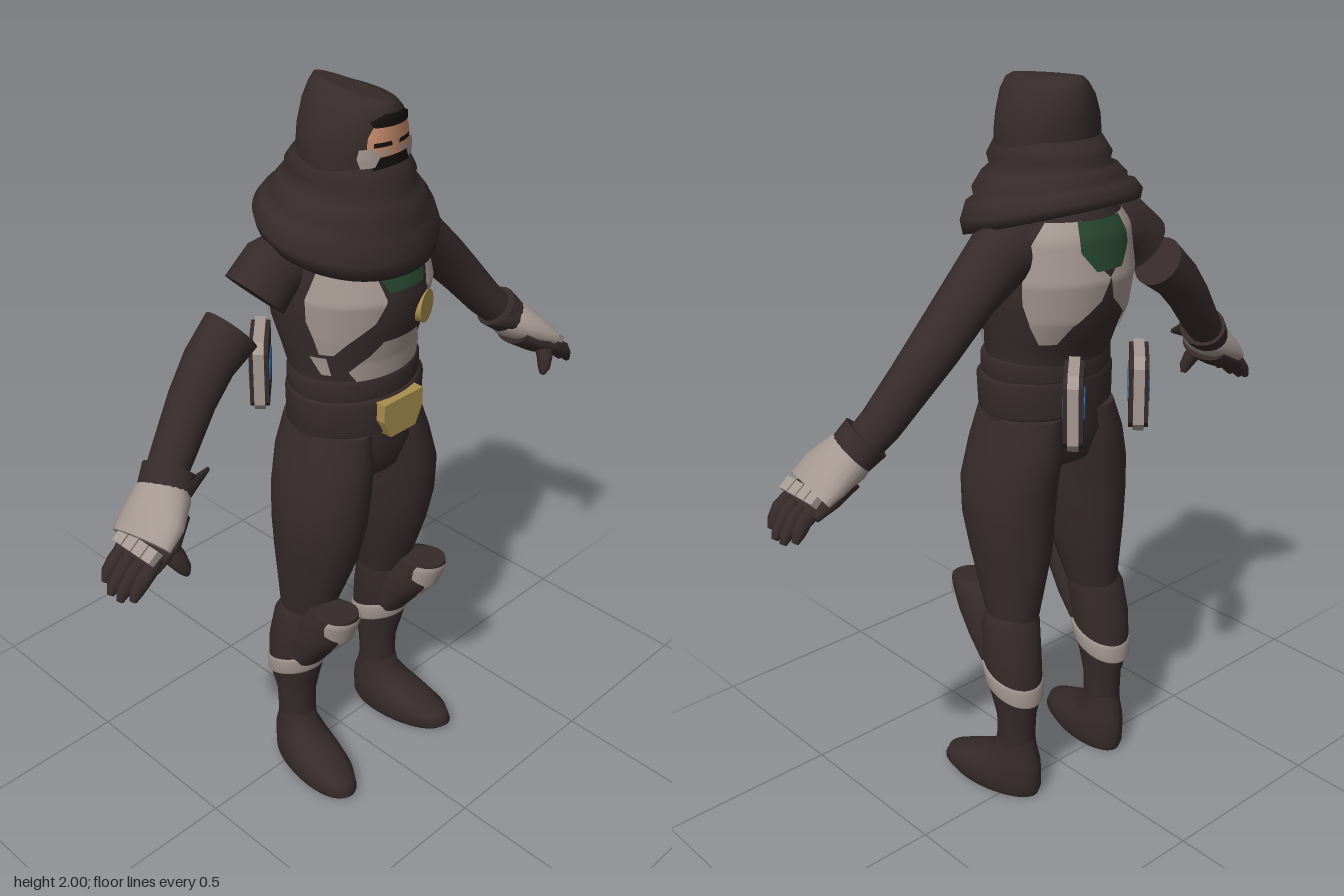
import * as THREE from 'three';

const mat = (name, color) => { const m = new THREE.MeshStandardMaterial({ color }); m.name = name; return m; };

export function createModel() {
  const cloth = mat('darkCloth', 0x362a2a), plate = mat('paleArmour', 0xa59892), gold = mat('gold', 0xa88d4e),
    green = mat('green', 0x27452f), blue = mat('blue', 0x2a6090), skin = mat('skin', 0xcb8e6e), black = mat('black', 0x17110f);
  const model = new THREE.Group();
  const add = (name, geo, m, parent = model) => {
    const mesh = new THREE.Mesh(geo, m);
    mesh.name = name;
    parent.add(mesh);
    return mesh;
  };

  // Surface through rows of points; closed rows wrap around and get end caps
  const skinRows = (rows, closed) => {
    const n = rows[0].length, pos = [], idx = [];
    rows.forEach(r => r.forEach(p => pos.push(p.x, p.y, p.z)));
    for (let i = 0; i < rows.length - 1; i++) for (let j = 0; j < (closed ? n : n - 1); j++) {
      const a = i * n + j, b = i * n + (j + 1) % n;
      idx.push(a, a + n, b + n, a, b + n, b);
    }
    if (closed) [rows[0], rows[rows.length - 1]].forEach((r, end) => {
      const s = pos.length / 3, c = new THREE.Vector3();
      r.forEach(p => { pos.push(p.x, p.y, p.z); c.addScaledVector(p, 1 / n); });
      pos.push(c.x, c.y, c.z);
      for (let j = 0; j < n; j++) {
        const a = s + j, b = s + (j + 1) % n;
        idx.push(s + n, end ? b : a, end ? a : b);
      }
    });
    const g = new THREE.BufferGeometry();
    g.setAttribute('position', new THREE.Float32BufferAttribute(pos, 3));
    g.setIndex(idx);
    g.computeVertexNormals();
    return g;
  };

  // Upright loft, rings from top to bottom: [y, centre x, half width, front z, back z, tilt]
  const ringPoint = ([y, cx, rx, zf, zb, tilt = 0], a, out = 0) => {
    const z = (zf + zb) / 2 + ((zf - zb) / 2 + out) * Math.cos(a);
    return new THREE.Vector3(cx + (rx + out) * Math.sin(a), y + tilt * z, z);
  };
  const around = (n, f) => Array.from({ length: n }, (_, j) => f(j / n * Math.PI * 2));
  const loft = (rings, n = 40) => skinRows(rings.map(r => around(n, a => ringPoint(r, a))), true);
  const mix = (p, q, t) => p.map((v, k) => v + ((q[k] ?? 0) - v) * t);
  const ringAt = (rings, y) => {
    let k = 0;
    while (k < rings.length - 2 && rings[k + 1][0] > y) k++;
    return mix(rings[k], rings[k + 1], (rings[k][0] - y) / (rings[k][0] - rings[k + 1][0]));
  };
  // Thin painted patch lying on a loft, rows: [y, start angle, end angle]
  const patch = (name, rings, rows, m, out = 0.005) => {
    const lines = [];
    rows.forEach((r, i) => {
      const steps = i < rows.length - 1 ? 6 : 1;
      for (let s = 0; s < steps; s++) lines.push(steps > 1 ? mix(r, rows[i + 1], s / steps) : r);
    });
    return add(name, skinRows(lines.map(([y, a0, a1]) => Array.from({ length: 15 }, (_, j) =>
      ringPoint(ringAt(rings, y), a0 + (a1 - a0) * j / 14, out)))), m);
  };
  const patchPair = (name, rings, rows, m, out) => {
    patch(name + 'Left', rings, rows, m, out);
    patch(name + 'Right', rings, rows.map(([y, a, b]) => [y, -b, -a]), m, out);
  };
  // Limb along a path, points: [x, y, z, half thickness, half depth in z]
  const limb = (pts, side = 1, n = 20) => {
    const c = pts.map(p => new THREE.Vector3(p[0] * side, p[1], p[2]));
    return skinRows(pts.map((p, i) => {
      const t = c[Math.min(i + 1, c.length - 1)].clone().sub(c[Math.max(i - 1, 0)]).normalize();
      const u = new THREE.Vector3(0, 0, 1).addScaledVector(t, -t.z).normalize();
      const v = u.clone().cross(t);
      return around(n, a => c[i].clone().addScaledVector(u, p[4] * Math.cos(a)).addScaledVector(v, p[3] * Math.sin(a)));
    }), true);
  };

  // Torso and chest armour
  const torso = [[1.72, 0, 0.12, 0.13, -0.12], [1.63, 0, 0.19, 0.205, -0.17], [1.52, 0, 0.205, 0.235, -0.185],
    [1.42, 0, 0.195, 0.215, -0.165], [1.35, 0, 0.183, 0.195, -0.13], [1.28, 0, 0.172, 0.185, -0.1], [1.12, 0, 0.17, 0.18, -0.09]];
  add('torso', loft(torso, 64), cloth);
  patchPair('chestPlate', torso, [[1.64, 0.5, 0.9], [1.6, 0.45, 1.15], [1.53, 0.33, 1.3], [1.47, 0.45, 1.3], [1.42, 0.75, 1.2], [1.38, 0.95, 1.15]], plate);
  patch('abdomenPlate', torso, [[1.41, -0.3, 0.3], [1.375, -0.45, 0.45], [1.33, -0.75, 0.75], [1.28, -0.55, 0.55]], plate);
  patchPair('ribPlate', torso, [[1.37, 1.05, 1.3], [1.32, 1.0, 1.15]], plate);
  patch('collarPanel', torso, [[1.61, -0.45, 0.45], [1.545, -0.28, 0.28]], green);
  const P = Math.PI;
  patchPair('backPlate', torso, [[1.67, P - 0.9, P - 0.35], [1.58, P - 1.1, P - 0.25], [1.53, P - 1.1, P], [1.47, P - 1.1, P - 0.1],
    [1.41, P - 1.0, P - 0.45], [1.36, P - 0.85, P - 0.6]], plate);
  patch('backPanel', torso, [[1.67, P - 0.42, P + 0.42], [1.6, P - 0.4, P + 0.4], [1.55, P - 0.2, P + 0.2]], green, 0.008);
  const badge = add('badge', new THREE.CylinderGeometry(0.042, 0.042, 0.02, 24).rotateX(P / 2), gold);
  badge.position.set(0.08, 1.46, 0.208);
  badge.rotation.y = 0.35;

  // Belt, buckle and hips
  add('upperBelt', loft([[1.3, 0, 0.178, 0.195, -0.1], [1.29, 0, 0.185, 0.2, -0.105], [1.25, 0, 0.185, 0.2, -0.105], [1.24, 0, 0.178, 0.195, -0.1]]), cloth);
  add('lowerBelt', loft([[1.245, 0, 0.185, 0.2, -0.1], [1.235, 0, 0.195, 0.21, -0.105], [1.15, 0, 0.192, 0.208, -0.105], [1.14, 0, 0.18, 0.195, -0.095]]), cloth);
  const buckle = new THREE.Shape([[-0.07, 1.24], [-0.07, 1.19], [-0.045, 1.14], [0.045, 1.14], [0.07, 1.19], [0.07, 1.24]].map(p => new THREE.Vector2(...p)));
  add('buckle', new THREE.ExtrudeGeometry(buckle, { depth: 0.03, bevelEnabled: false }).translate(0, 0, 0.195), gold);
  add('hips', loft([[1.16, 0, 0.178, 0.19, -0.09], [1.08, 0, 0.19, 0.195, -0.095], [1.0, 0, 0.14, 0.17, -0.07], [0.96, 0, 0.05, 0.1, 0]]), cloth);

  // Hood, face and draped cowl
  const hood = [[1.992, 0, 0.03, 0.165, -0.085, -0.07], [1.978, 0, 0.065, 0.175, -0.092, -0.03], [1.95, 0, 0.098, 0.175, -0.096],
    [1.9, 0, 0.124, 0.172, -0.096], [1.86, 0, 0.134, 0.17, -0.092], [1.8, 0, 0.135, 0.168, -0.09]];
  add('hood', loft(hood, 48), cloth);
  patch('face', hood, [[1.94, -0.5, 0.5], [1.91, -0.58, 0.58], [1.87, -0.55, 0.55], [1.855, -0.4, 0.4]], skin);
  patch('hair', hood, [[1.965, -0.35, 0.35], [1.945, -0.62, 0.62], [1.932, -0.5, 0.5]], black, 0.007);
  patchPair('brow', hood, [[1.897, 0.1, 0.45], [1.886, 0.08, 0.45]], black, 0.007);
  patchPair('cheekGuard', hood, [[1.885, 0.45, 0.7], [1.865, 0.3, 0.72], [1.84, 0.4, 0.65]], plate, 0.008);
  patchPair('eye', hood, [[1.876, 0.1, 0.3], [1.866, 0.1, 0.3]], plate, 0.007);
  patch('mouthMask', hood, [[1.862, -0.4, 0.4], [1.83, -0.45, 0.45]], black, 0.007);
  add('cowl', loft([[1.85, 0, 0.125, 0.165, -0.1], [1.83, 0, 0.135, 0.18, -0.117], [1.805, 0, 0.15, 0.197, -0.13, -0.05],
    [1.78, 0, 0.142, 0.192, -0.126, -0.06], [1.77, 0, 0.168, 0.207, -0.14, -0.1], [1.74, 0, 0.198, 0.222, -0.157, -0.13],
    [1.722, 0, 0.195, 0.217, -0.157, -0.16], [1.715, 0, 0.222, 0.228, -0.172, -0.18], [1.68, 0, 0.243, 0.236, -0.187, -0.25],
    [1.65, 0, 0.235, 0.232, -0.185, -0.3], [1.665, 0, 0.18, 0.18, -0.15, -0.3]], 56), cloth);

  for (const side of [1, -1]) {
    const tag = side > 0 ? 'left' : 'right', part = (name, geo, m) => add(tag + name, geo, m);
    const at = rings => rings.map(([y, x, ...rest]) => [y, x * side, ...rest]);

    // Legs
    part('Thigh', loft(at([[1.14, 0.09, 0.088, 0.185, -0.09], [1.05, 0.107, 0.107, 0.197, -0.1], [0.95, 0.127, 0.12, 0.2, -0.088],
      [0.85, 0.133, 0.116, 0.192, -0.083], [0.75, 0.135, 0.103, 0.17, -0.08], [0.65, 0.143, 0.084, 0.135, -0.068], [0.56, 0.15, 0.07, 0.1, -0.055]])), cloth);
    part('Shin', loft(at([[0.57, 0.16, 0.07, 0.09, -0.045], [0.54, 0.162, 0.08, 0.1, -0.062], [0.45, 0.17, 0.078, 0.095, -0.08],
      [0.36, 0.17, 0.074, 0.075, -0.085], [0.32, 0.17, 0.067, 0.065, -0.082], [0.25, 0.168, 0.055, 0.048, -0.064], [0.13, 0.17, 0.05, 0.05, -0.06]])), cloth);
    part('ShinBand', loft(at([[0.4, 0.17, 0.076, 0.095, -0.086, 0.4], [0.392, 0.17, 0.081, 0.098, -0.09, 0.4], [0.35, 0.17, 0.077, 0.086, -0.09, 0.4], [0.342, 0.17, 0.07, 0.08, -0.086, 0.4]])), plate);
    const knee = at([[0.625, 0.175, 0.05, 0.225, 0.12], [0.61, 0.175, 0.06, 0.225, 0.08], [0.54, 0.172, 0.066, 0.2, 0.03],
      [0.48, 0.17, 0.07, 0.15, 0.02], [0.4, 0.17, 0.06, 0.09, 0.0]]);
    part('KneeGuard', loft(knee), cloth);
    patch(tag + 'KneePlate', knee, [[0.622, -1.3, 1.3], [0.575, -1.1, 1.1], [0.55, -0.5, 0.5], [0.5, -0.4, 0.4]], plate);

    // Boot
    const boot = part('Boot', loft([[0.2, 0, 0.05, 0.045, -0.058], [0.14, 0, 0.054, 0.06, -0.068], [0.105, 0, 0.064, 0.115, -0.08], [0.075, 0, 0.073, 0.185, -0.083],
      [0.05, 0, 0.077, 0.24, -0.083], [0.02, 0, 0.077, 0.255, -0.083], [0, 0, 0.066, 0.235, -0.075]]), cloth);
    boot.position.x = 0.17 * side;
    boot.rotation.y = 0.16 * side;

    // Arms; the right sleeve is parted above the elbow
    const upper = [[0.12, 1.6, -0.01, 0.075, 0.075], [0.22, 1.58, -0.015, 0.085, 0.08]];
    const lower = [[0.42, 1.405, -0.02, 0.063, 0.066], [0.485, 1.335, -0.01, 0.058, 0.06], [0.565, 1.24, 0.012, 0.052, 0.055], [0.63, 1.175, 0.035, 0.046, 0.05]];
    if (side > 0) part('Arm', limb([...upper, [0.31, 1.51, -0.02, 0.067, 0.075], ...lower], side), cloth);
    else {
      part('UpperArm', limb([...upper, [0.268, 1.53, -0.02, 0.088, 0.08]], side), cloth);
      part('Forearm', limb([[0.345, 1.465, -0.02, 0.072, 0.074], ...lower], side), cloth);
    }

    // Gloves and hands
    part('Cuff', limb([[0.595, 1.21, 0.03, 0.062, 0.07], [0.63, 1.175, 0.045, 0.055, 0.068]], side), cloth);
    part('CuffFin', limb([[0.61, 1.185, 0.1, 0.03, 0.012], [0.52, 1.2, 0.08, 0.006, 0.004]], side, 8), cloth);
    part('Glove', limb([[0.615, 1.185, 0.042, 0.05, 0.06], [0.635, 1.168, 0.05, 0.058, 0.075], [0.69, 1.128, 0.072, 0.047, 0.092], [0.73, 1.098, 0.08, 0.036, 0.09]], side), plate);
    part('Palm', limb([[0.64, 1.13, 0.06, 0.04, 0.07], [0.7, 1.09, 0.08, 0.038, 0.085], [0.755, 1.055, 0.085, 0.028, 0.075]], side), cloth);
    for (let f = 0; f < 4; f++) {
      const z = 0.035 + f * 0.035, short = f === 0 || f === 3 ? 0.012 : 0;
      part('Finger' + (f + 1), limb([[0.73, 1.08, z, 0.02, 0.019], [0.78, 1.045, z + 0.003, 0.021, 0.019], [0.81 - short, 1.01 + short, z, 0.018, 0.017], [0.822 - short, 0.988 + short, z, 0.009, 0.009]], side, 10), cloth);
      const knuckle = part('Knuckle' + (f + 1), new THREE.BoxGeometry(0.035, 0.022, 0.03), plate);
      knuckle.position.set(0.748 * side, 1.094, z);
      knuckle.rotation.z = -0.65 * side;
    }
    part('Thumb', limb([[0.7, 1.11, 0.12, 0.026, 0.026], [0.685, 1.06, 0.15, 0.025, 0.022], [0.672, 1.03, 0.16, 0.018, 0.017], [0.666, 1.012, 0.16, 0.008, 0.008]], side, 10), cloth);
  }

  // Two parallel pouches behind the belt, with pale rims and blue windows on both faces
  const slab = (w, h, d, c) => {
    const s = new THREE.Shape(), x = w / 2, y = h / 2;
    [[-x + c, -y], [x - c, -y], [x, -y + c], [x, y - c], [x - c, y], [-x + c, y], [-x, y - c], [-x, -y + c]].forEach((p, i) => i ? s.lineTo(...p) : s.moveTo(...p));
    return new THREE.ExtrudeGeometry(s, { depth: d, bevelEnabled: false }).translate(0, 0, -d / 2);
  };
  [[0.105, 1.22, -0.17], [-0.11, 1.22, -0.185]].forEach((p, i) => {
    const pouch = new THREE.Group();
    pouch.name = i ? 'rightPouch' : 'leftPouch';
    add('pouchRim', slab(0.19, 0.2, 0.028, 0.025), plate, pouch);
    add('pouchBody', slab(0.174, 0.184, 0.05, 0.02), cloth, pouch);
    add('pouchWindow', slab(0.115, 0.06, 0.056, 0.014), blue, pouch);
    pouch.position.set(...p);
    pouch.rotation.set(0, P / 4, 0);
    model.add(pouch);
  });
  return model;
}
